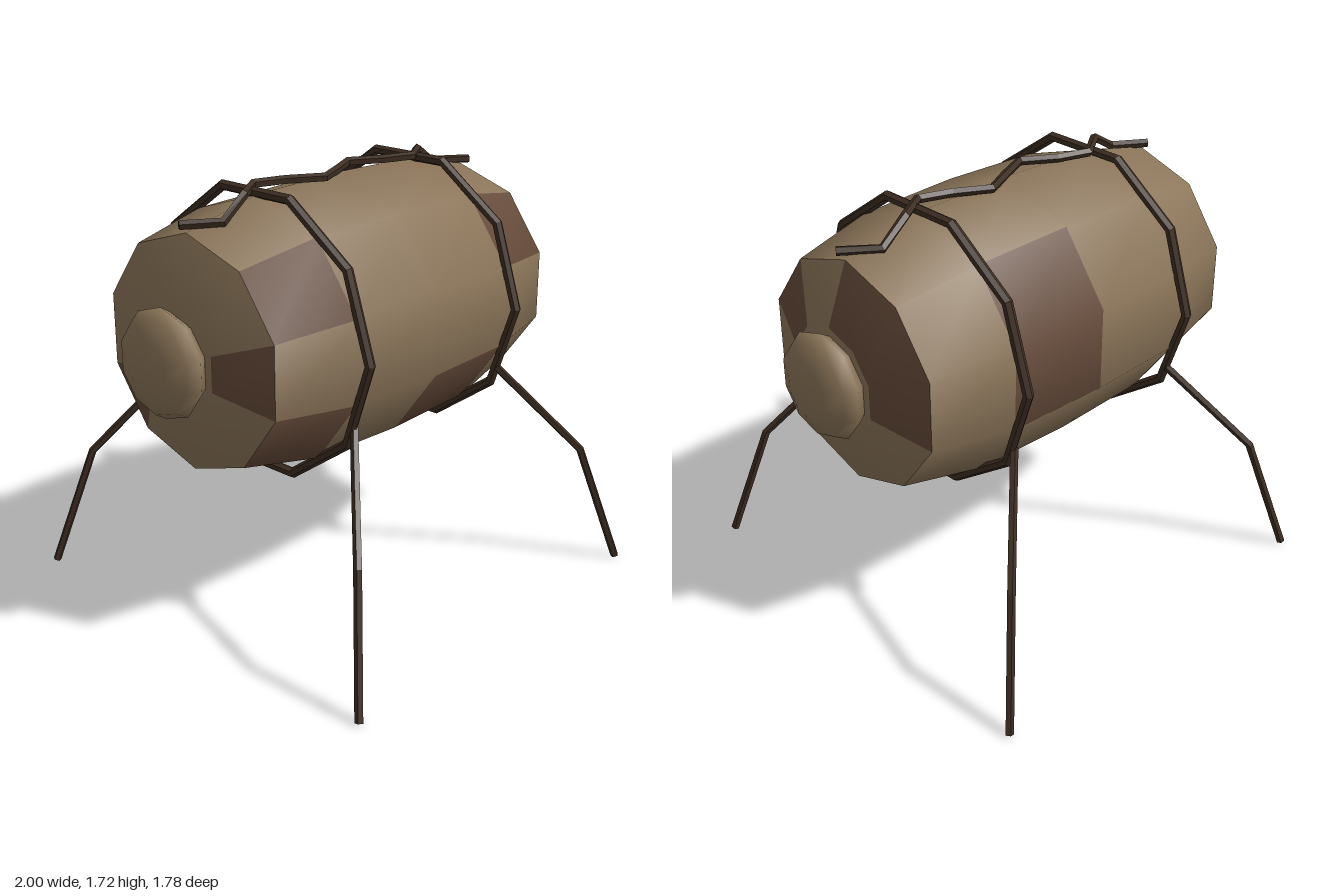
import * as THREE from 'three';
import { toCreasedNormals } from 'three/addons/utils/BufferGeometryUtils.js';

const CENTER_Y = 1.147;
const wood = new THREE.MeshStandardMaterial({ color: 0x8a7458 });
const patch = new THREE.MeshStandardMaterial({ color: 0x654a39 });
const dark = new THREE.MeshStandardMaterial({ color: 0x3d2d22, flatShading: true });

// Straight segments through evenly parametrised points
class Polyline extends THREE.Curve {
  constructor(points) {
    super();
    this.points = points.map((p) => new THREE.Vector3(...p));
  }
  getPoint(t, target = new THREE.Vector3()) {
    const n = this.points.length - 1;
    const i = Math.min(Math.floor(t * n), n - 1);
    return target.lerpVectors(this.points[i], this.points[i + 1], t * n - i);
  }
  getPointAt(u, target) { return this.getPoint(u, target); }
  getTangentAt(u, target) { return this.getTangent(u, target); }
}

// Bent rod with closed ends
function bentRod(name, points, radius, sides) {
  const group = new THREE.Group();
  group.name = name;
  const curve = new Polyline(points);
  group.add(new THREE.Mesh(new THREE.TubeGeometry(curve, points.length - 1, radius, sides), dark));
  for (const end of [0, 1]) {
    const cap = new THREE.Mesh(new THREE.CircleGeometry(radius, sides), dark);
    const out = curve.getTangent(end).multiplyScalar(end ? 1 : -1);
    cap.quaternion.setFromUnitVectors(new THREE.Vector3(0, 0, 1), out);
    cap.position.copy(curve.getPoint(end));
    group.add(cap);
  }
  group.children.forEach((m) => { m.name = name; });
  return group;
}

// Ten-sided barrel along x, with some darker panels
function makeBarrel() {
  const profile = [
    [0, -0.87], [0.22, -0.87], [0.455, -0.78], [0.53, -0.44], [0.543, 0],
    [0.53, 0.44], [0.455, 0.78], [0.22, 0.87], [0, 0.87],
  ].map(([r, x]) => new THREE.Vector2(r, x));
  // [side, length section] of each darker panel; sides count from the top over the front
  const panels = [
    [1, 6], [9, 6], [8, 6], [7, 6], [1, 5], [1, 2],
    [8, 4], [7, 4], [3, 4], [3, 2], [2, 1], [6, 1],
  ];
  const sections = profile.length - 1;
  const lathe = new THREE.LatheGeometry(profile, 10, -Math.PI / 2);
  lathe.rotateZ(-Math.PI / 2);
  const geometry = toCreasedNormals(lathe, 0.75);
  geometry.clearGroups();
  for (let side = 0; side < 10; side++) {
    for (let j = 0; j < sections; j++) {
      const isDark = panels.some(([a, b]) => a === side && b === j);
      geometry.addGroup((side * sections + j) * 6, 6, isDark ? 1 : 0);
    }
  }
  const barrel = new THREE.Mesh(geometry, [wood, patch]);
  barrel.name = 'barrel';
  barrel.position.y = CENTER_Y;
  return barrel;
}

export function createModel() {
  const model = new THREE.Group();
  model.name = 'barrelOnLegs';
  model.add(makeBarrel());

  for (const sx of [-1, 1]) {
    // Rounded end knob
    const knobGeometry = new THREE.SphereGeometry(1, 10, 6);
    knobGeometry.rotateZ(-Math.PI / 2 * sx);
    knobGeometry.scale(0.09, 0.212, 0.212);
    const knob = new THREE.Mesh(knobGeometry, wood);
    knob.name = 'endKnob';
    knob.position.set(0.91 * sx, CENTER_Y, 0);
    model.add(knob);

    // Hoop around the barrel
    const hoop = new THREE.Mesh(new THREE.TorusGeometry(0.565, 0.021, 6, 10), dark);
    hoop.name = 'hoop';
    hoop.rotation.y = Math.PI / 2;
    hoop.position.set(0.437 * sx, 1.15, 0);
    model.add(hoop);

    // Bent legs
    for (const sz of [-1, 1]) {
      const path = [[0.43, 0.89, 0.485], [0.697, 0.51, 0.745], [0.828, 0.005, 0.872]];
      model.add(bentRod('leg', path.map(([x, y, z]) => [x * sx, y, z * sz]), 0.017, 5));
    }
  }

  // Zigzag vine along the top
  const sway = [-0.03, 0.055, 0.03, -0.063, -0.02, 0.06, 0, -0.065, 0.01, 0.055, -0.03, -0.057, 0.04];
  const vine = sway.map((z, i) => {
    const nearEnd = i < 2 || i > sway.length - 3;
    return [-0.785 + i * 0.131, nearEnd ? 1.625 : 1.7, z];
  });
  model.add(bentRod('vine', vine, 0.018, 5));

  return model;
}
